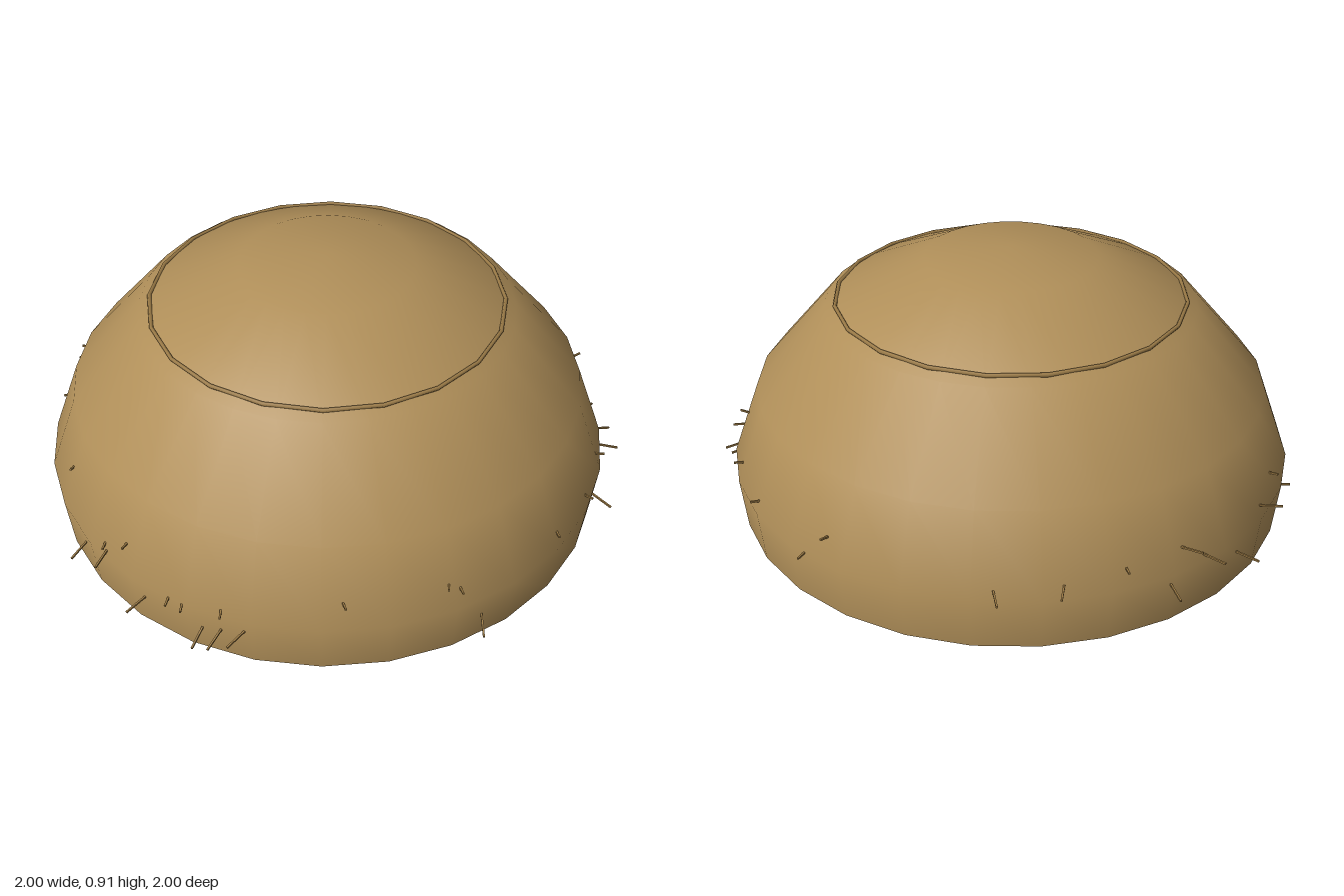
import * as THREE from 'three';

const material = (name, color) => {
  const m = new THREE.MeshStandardMaterial({ color });
  m.name = name;
  return m;
};

// Outline of the mound from the ground to the crown: [radius, height]
const PROFILE = [[0.94, 0], [0.96, 0.18], [0.865, 0.44], [0.625, 0.72], [0.29, 0.876], [0, 0.91]];

// Radius of the mound at a given height
function radiusAt(y) {
  for (let i = 1; i < PROFILE.length; i++) {
    const [r0, y0] = PROFILE[i - 1], [r1, y1] = PROFILE[i];
    if (y <= y1) return r0 + (r1 - r0) * (y - y0) / (y1 - y0);
  }
  return 0;
}

// Loose straws: [degrees around from the front, height, sideways lean]
const LONG_STRAWS = [
  [-55, 0.14, 0.4], [-47, 0.2, 0.5], [-36, 0.12, -0.2], [-23, 0.1, 0], [-19, 0.115, -0.2],
  [-14, 0.14, -0.5], [32, 0.1, -0.5], [73, 0.13, -0.4], [88, 0.14, 0], [94, 0.125, 0.3],
  [184, 0.21, 0.2], [197, 0.22, -0.3], [218, 0.15, -0.2], [221, 0.25, 0.3], [226, 0.2, 0.2],
  [236, 0.13, 0.3], [245, 0.22, 0.4],
];
const SHORT_STRAWS = [
  [-66, 0.31, 0.9], [-48, 0.22, 0.7], [-42, 0.27, 0.4], [-30, 0.18, 0.3], [-27, 0.18, 0.4],
  [-19, 0.2, 0.3], [4, 0.265, 0.2], [25, 0.265, -0.5], [27, 0.245, -0.2], [53, 0.23, -0.7],
  [66, 0.22, -0.3], [78, 0.235, 0], [100, 0.15, 0.4], [104, 0.33, 0], [114, 0.235, 0],
  [128, 0.22, -0.2], [145, 0.18, 0.2], [150, 0.26, 0], [209, 0.24, -0.2], [254, 0.26, -0.3],
  [259, 0.17, 0.4],
];

export function createModel() {
  const hay = material('hay', 0xb08f59);
  const twine = material('twine', 0x9b7b47);
  const straw = material('straw', 0x9b7a45);

  const model = new THREE.Group();
  model.name = 'haystack';
  const stack = new THREE.Group();
  stack.name = 'stack';
  stack.position.set(-0.04, 0, 0.01);
  model.add(stack);

  const add = (geometry, mat, name, parent = stack) => {
    const mesh = new THREE.Mesh(geometry, mat);
    mesh.name = name;
    parent.add(mesh);
    return mesh;
  };

  // Smooth rounded mound, with the crown's tip shaded straight up
  const mound = new THREE.LatheGeometry(PROFILE.map(([r, y]) => new THREE.Vector2(r, y)), 28);
  const normal = mound.attributes.normal;
  for (let i = PROFILE.length - 1; i < normal.count; i += PROFILE.length) normal.setXYZ(i, 0, 1, 0);
  add(mound, hay, 'mound');
  add(new THREE.CircleGeometry(0.94, 28).rotateX(Math.PI / 2), hay, 'underside');

  // Twine tied around the shoulder
  const band = add(new THREE.TorusGeometry(0.59, 0.007, 6, 20).rotateX(Math.PI / 2), twine, 'twineBand');
  band.position.y = 0.74;

  // Loose straws poking out around the lower half; low ones droop, high ones lift
  const straws = new THREE.Group();
  straws.name = 'looseStraws';
  stack.add(straws);
  const strawGeometry = new THREE.BoxGeometry(0.006, 0.006, 1).translate(0, 0, 0.5);
  const addStraws = (list, length) => list.forEach(([degrees, y, lean]) => {
    const a = THREE.MathUtils.degToRad(degrees);
    const r = radiusAt(y) - 0.012;
    const mesh = add(strawGeometry, straw, 'looseStraw', straws);
    mesh.position.set(Math.sin(a) * r, y, Math.cos(a) * r);
    mesh.rotation.set((0.2 - y) * 3, a + lean, 0, 'YXZ');
    mesh.scale.z = length;
  });
  addStraws(LONG_STRAWS, 0.085);
  addStraws(SHORT_STRAWS, 0.04);
  return model;
}
